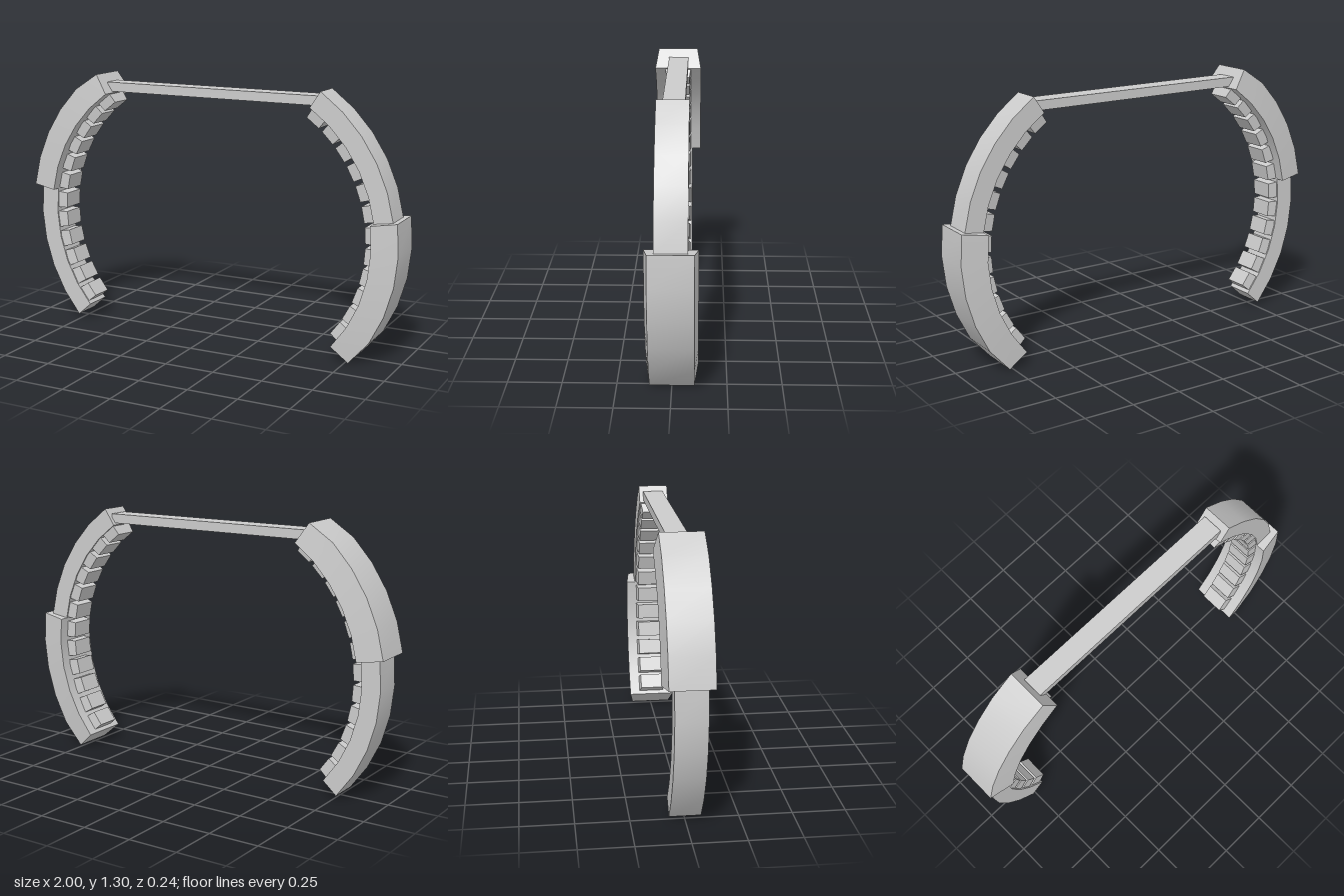
import * as THREE from 'three';
import { toCreasedNormals } from 'three/addons/utils/BufferGeometryUtils.js';

const rad = THREE.MathUtils.degToRad;
const material = new THREE.MeshStandardMaterial({ color: 0xcccccc });

function part(name, geometry) {
  const mesh = new THREE.Mesh(geometry, material);
  mesh.name = name;
  return mesh;
}

// Box bent along an arc: x becomes radius, y the angle, z the width,
// which narrows towards the outside; the free end is slightly thinner
function bentBand({ from, to, inner, outer, freeOuter, innerHalf, outerHalf, freeEnd }) {
  const box = new THREE.BoxGeometry(1, 1, 1, 1, 5, 1);
  const p = box.attributes.position;
  for (let i = 0; i < p.count; i++) {
    const t = p.getY(i) + 0.5;
    const a = rad(from + (to - from) * t);
    const isOuter = p.getX(i) > 0;
    const atFreeEnd = t === freeEnd;
    const r = isOuter ? (atFreeEnd ? freeOuter : outer) : inner;
    const z = Math.sign(p.getZ(i)) * (isOuter ? outerHalf : innerHalf);
    p.setXYZ(i, r * Math.cos(a), r * Math.sin(a), z);
  }
  return toCreasedNormals(box, rad(30));
}

const thin = { inner: 0.755, outer: 0.85, freeOuter: 0.85, innerHalf: 0.074, outerHalf: 0.074 };
const thick = { inner: 0.753, outer: 0.88, freeOuter: 0.866, innerHalf: 0.12, outerHalf: 0.102 };

// Small block whose inward face is a little narrower than its base
function padGeometry() {
  const box = new THREE.BoxGeometry(0.055, 0.084, 0.136);
  const p = box.attributes.position;
  for (let i = 0; i < p.count; i++) {
    if (p.getX(i) < 0) p.setXYZ(i, p.getX(i), p.getY(i) * 0.93, p.getZ(i) * 0.88);
  }
  return toCreasedNormals(box, rad(10));
}

// One curved arm with its row of pads, bulging towards +x
function makeArm(name, upper, lower) {
  const arm = new THREE.Group();
  arm.name = name;
  arm.add(part('upperArc', bentBand({ ...upper, from: 8.3, to: 56.3, freeEnd: 1 })));
  arm.add(part('lowerArc', bentBand({ ...lower, from: -41.5, to: 8.3, freeEnd: 0 })));

  const pads = new THREE.Group();
  pads.name = 'innerPads';
  const geometry = padGeometry();
  for (let i = 0; i < 12; i++) {
    const a = rad(-36.8 + i * 8.1);
    const pad = part('pad', geometry);
    pad.position.set(0.731 * Math.cos(a), 0.731 * Math.sin(a), 0);
    pad.rotation.z = a;
    pads.add(pad);
  }
  arm.add(pads);
  return arm;
}

export function createModel() {
  const model = new THREE.Group();
  model.name = 'curvedFrame';

  // Left arm is heavy below, right arm is heavy above
  const left = makeArm('leftArm', thin, thick);
  left.position.set(0.118, 0.58, 0);
  const right = makeArm('rightArm', thick, thin);
  right.position.set(-0.128, 0.588, 0);
  right.rotation.y = Math.PI;
  model.add(left, right);

  // Crossbar joining the upper ends
  const bar = part('crossbar', new THREE.BoxGeometry(1.14, 0.046, 0.102));
  bar.position.set(-0.008, 1.242, -0.003);
  bar.rotation.z = -0.004;
  model.add(bar);
  return model;
}
